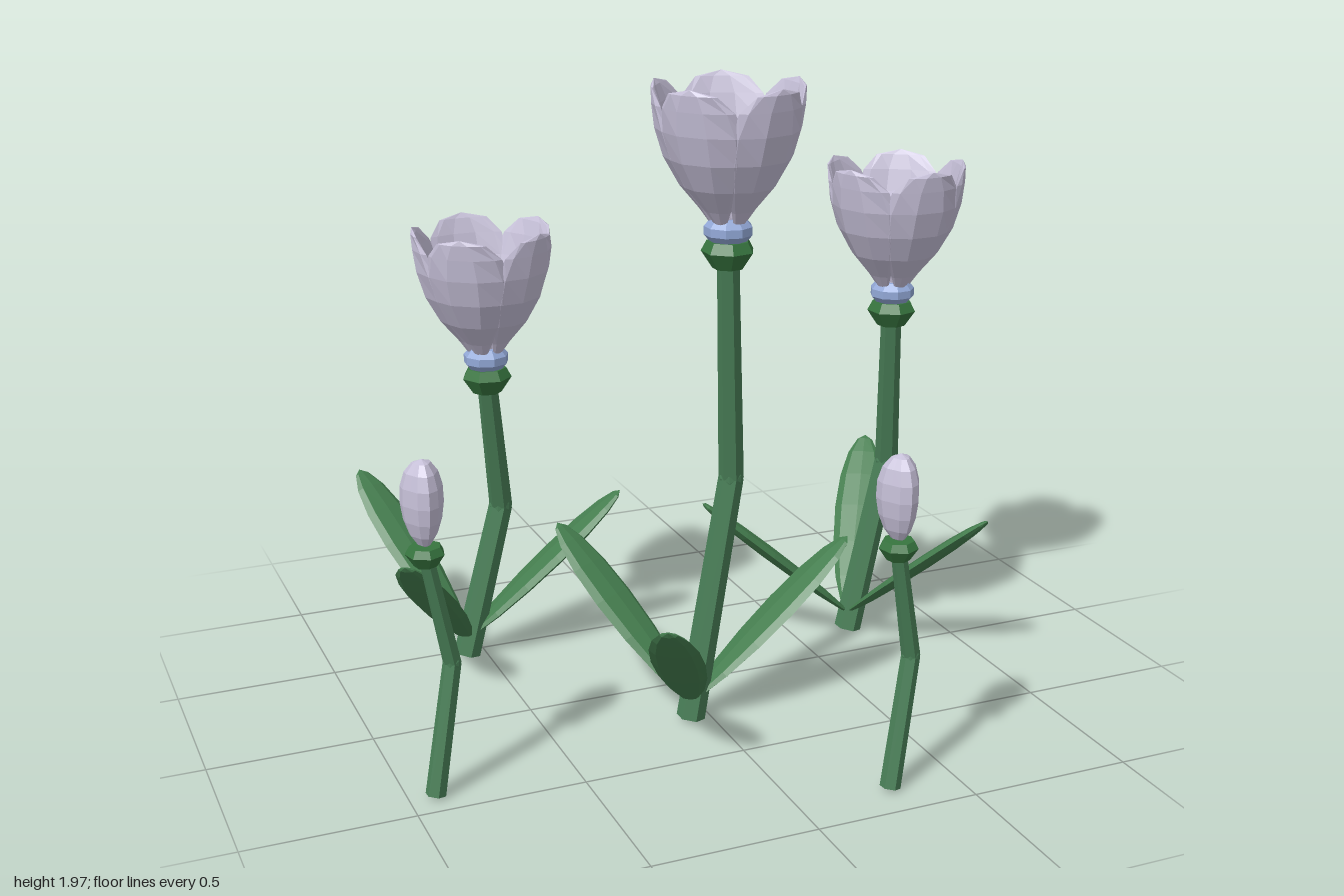
import * as THREE from 'three';

const material = (name, color) => {
  const m = new THREE.MeshStandardMaterial({ color });
  m.name = name;
  return m;
};

// Faceted copy of a geometry
function facet(geometry) {
  const g = geometry.index ? geometry.toNonIndexed() : geometry;
  g.computeVertexNormals();
  return g;
}

// Unit sphere whose vertices are moved by a rule (v is edited in place)
function shaped(widthSegments, heightSegments, rule) {
  const g = new THREE.SphereGeometry(1, widthSegments, heightSegments);
  const p = g.attributes.position;
  const v = new THREE.Vector3();
  for (let i = 0; i < p.count; i++) {
    v.fromBufferAttribute(p, i);
    rule(v);
    p.setXYZ(i, v.x, v.y, v.z);
  }
  return facet(g);
}

const lathe = (points, sides) =>
  facet(new THREE.LatheGeometry(points.map(([r, y]) => new THREE.Vector2(r, y)), sides));

// Piecewise-linear radius of the flower cup, by height
const cup = [[0, 0.035], [0.05, 0.06], [0.16, 0.145], [0.26, 0.185], [0.42, 0.215]];
function cupRadius(y) {
  for (let i = 1; i < cup.length; i++) {
    const [y0, r0] = cup[i - 1], [y1, r1] = cup[i];
    if (y <= y1) return r0 + (r1 - r0) * (y - y0) / (y1 - y0);
  }
  return cup[cup.length - 1][1];
}

// Turns the +z axis of an object towards angle a, measured from +x to +z
const heading = (degrees) => Math.PI / 2 - THREE.MathUtils.degToRad(degrees);

export function createModel() {
  const petalMat = material('paleLilac', 0xc6c0d8);
  const stemMat = material('stemGreen', 0x4a8058);
  const leafMat = material('leafGreen', 0x457e4f);
  const collarMat = material('collarGreen', 0x37753f);
  const ringMat = material('softBlue', 0x93a9d8);

  // Cupped petal: a thin lens wrapped around the cup profile
  const petalGeo = shaped(10, 8, (v) => {
    const y = 0.21 * (v.y + 1);
    const ring = Math.hypot(v.x, v.z);
    const angle = ring > 1e-4 ? 0.8 * (v.x / ring) * Math.pow(ring, 0.8) : 0;
    const r = cupRadius(y) + 0.02 * v.z;
    v.set(r * Math.sin(angle), y, r * Math.cos(angle));
  });

  // Long leaf leaning outwards, widest beyond its middle
  const leafGeo = shaped(8, 8, (v) => {
    const t = (v.y + 1) / 2;
    const ring = Math.hypot(v.x, v.z);
    v.set(v.x * Math.pow(ring, 0.15) * 0.08, 0.7 * (t + 0.3 * t * (1 - t)), v.z * 0.022);
  });
  leafGeo.rotateX(THREE.MathUtils.degToRad(49));

  // Closed bud with three soft lobes
  const budGeo = shaped(12, 8, (v) => {
    const a = Math.atan2(v.z, v.x);
    const r = 0.058 * (1 - 0.14 * Math.sin(3 * a)) * (1 + 0.12 * v.y);
    v.set(v.x * r, v.y * 0.127, v.z * r);
  });

  const collarGeo = lathe([[0, -0.04], [0.045, -0.04], [0.078, 0.01], [0.062, 0.04], [0, 0.04]], 7);
  const ringGeo = lathe([[0, -0.035], [0.05, -0.035], [0.07, -0.012], [0.07, 0.012], [0.05, 0.035], [0, 0.035]], 9);
  const pistilGeo = facet(new THREE.IcosahedronGeometry(0.058, 1));
  const antherGeo = facet(new THREE.IcosahedronGeometry(0.027, 0));
  const filamentGeo = facet(new THREE.CylinderGeometry(0.008, 0.008, 1, 5));
  const styleGeo = facet(new THREE.CylinderGeometry(0.03, 0.035, 0.24, 6));

  const add = (parent, name, geo, mat, x = 0, y = 0, z = 0) => {
    const mesh = new THREE.Mesh(geo, mat);
    mesh.name = name;
    mesh.position.set(x, y, z);
    parent.add(mesh);
    return mesh;
  };

  // Tapered rod between two points
  const rod = (parent, name, a, b, rBottom, rTop) => {
    const from = new THREE.Vector3(...a), to = new THREE.Vector3(...b);
    const dir = to.clone().sub(from);
    const geo = facet(new THREE.CylinderGeometry(rTop, rBottom, dir.length(), 6));
    const mesh = add(parent, name, geo, stemMat);
    mesh.position.copy(from).add(to).multiplyScalar(0.5);
    mesh.quaternion.setFromUnitVectors(new THREE.Vector3(0, 1, 0), dir.normalize());
  };

  // Bent stem in two pieces with a small joint
  const stem = (parent, [base, bend, top], r0, r1, r2) => {
    rod(parent, 'lowerStem', base, bend, r0, r1);
    rod(parent, 'upperStem', bend, top, r1, r2);
    add(parent, 'stemJoint', facet(new THREE.IcosahedronGeometry(r1 * 0.98, 1)), stemMat, ...bend);
  };

  const model = new THREE.Group();
  model.name = 'flowerPatch';

  // Open flowers: stem points, leaf turn and petal turn in degrees
  const flowers = [
    { path: [[-0.565, 0.015, -0.46], [-0.435, 0.52, -0.46], [-0.5, 0.98, -0.36]], turn: 125.5 },
    { path: [[-0.065, 0.015, 0.25], [0.065, 0.78, 0.25], [0.005, 1.49, 0.35]], turn: 0 },
    { path: [[0.69, 0.015, -0.16], [0.82, 0.6, -0.16], [0.765, 1.14, -0.06]], turn: 303 },
  ];
  for (const { path, turn } of flowers) {
    const plant = new THREE.Group();
    plant.name = 'floweringPlant';
    model.add(plant);
    stem(plant, path, 0.044, 0.038, 0.032);

    const [base, , top] = path;
    for (let i = 0; i < 3; i++) {
      const leaf = add(plant, 'leaf', leafGeo, leafMat, base[0], 0.07, base[2]);
      leaf.rotation.y = heading(turn + i * 120);
    }

    const head = new THREE.Group();
    head.name = 'flowerHead';
    head.position.set(...top);
    head.rotation.y = heading(turn);
    plant.add(head);
    add(head, 'collar', collarGeo, collarMat);
    add(head, 'blueRing', ringGeo, ringMat, 0, 0.07, 0);
    for (let i = 0; i < 5; i++) {
      add(head, 'petal', petalGeo, petalMat, 0, 0.07, 0).rotation.y = i * Math.PI * 0.4;
    }

    // Pistil with a ring of stamens
    add(head, 'style', styleGeo, petalMat, 0, 0.2, 0);
    add(head, 'pistil', pistilGeo, petalMat, 0, 0.34, 0);
    for (let i = 0; i < 8; i++) {
      const a = i * Math.PI / 4;
      const x = 0.08 * Math.sin(a), z = 0.08 * Math.cos(a);
      add(head, 'anther', antherGeo, petalMat, x, 0.33, z);
      const filament = add(head, 'filament', filamentGeo, petalMat, x * 0.7, 0.22, z * 0.7);
      const dir = new THREE.Vector3(x * 0.6, 0.22, z * 0.6);
      filament.scale.y = dir.length();
      filament.quaternion.setFromUnitVectors(new THREE.Vector3(0, 1, 0), dir.normalize());
    }
  }

  // Closed buds on short stems
  for (const [x, z] of [[-0.925, 0.42], [0.287, 0.88]]) {
    const plant = new THREE.Group();
    plant.name = 'buddingPlant';
    model.add(plant);
    stem(plant, [[x, 0.015, z], [x + 0.072, 0.4, z - 0.035], [x - 0.003, 0.75, z + 0.005]], 0.03, 0.027, 0.022);
    add(plant, 'budCollar', collarGeo, collarMat, x - 0.003, 0.748, z + 0.005).scale.setScalar(0.72);
    add(plant, 'bud', budGeo, petalMat, x - 0.003, 0.9, z + 0.005);
  }
  return model;
}
